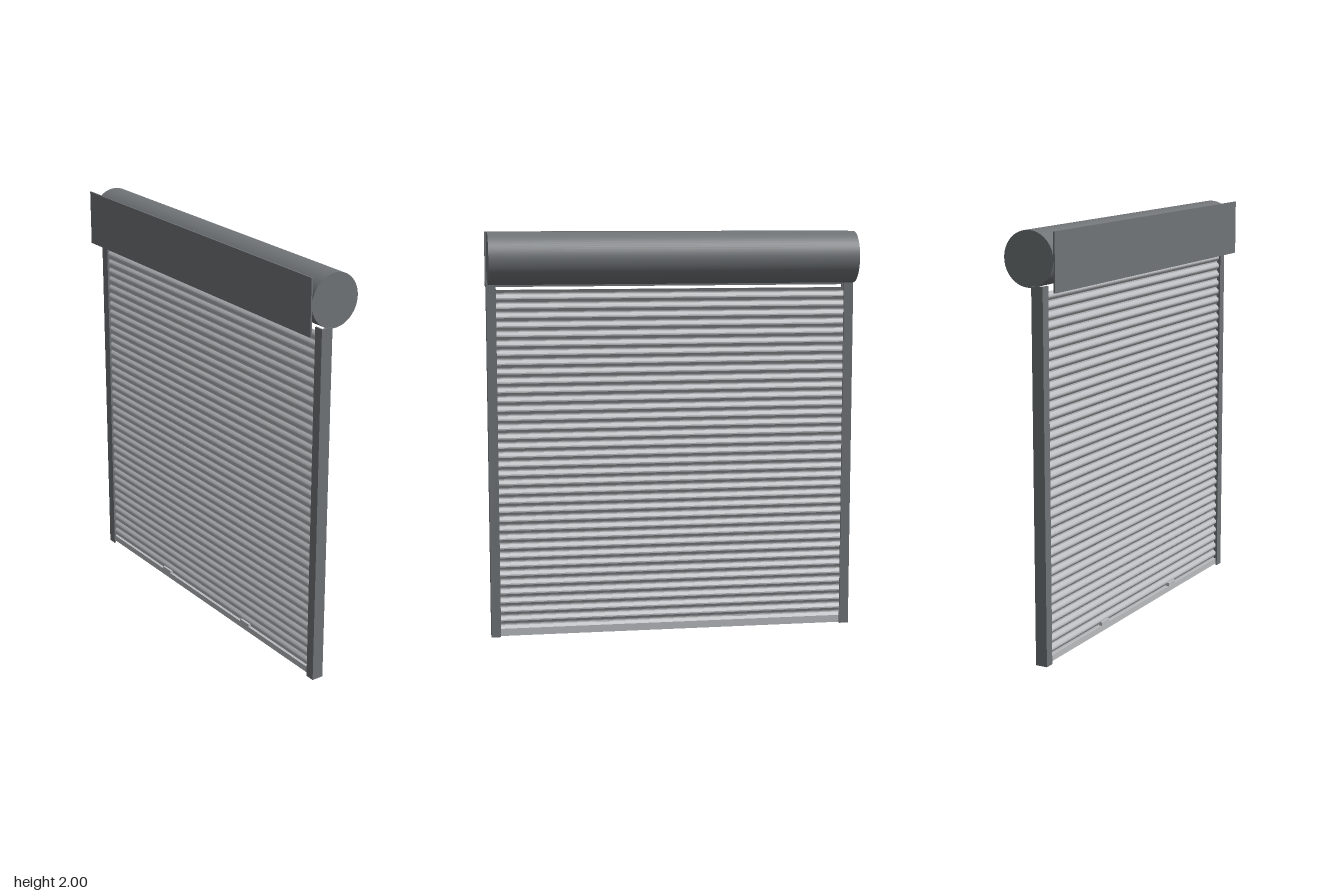
import * as THREE from 'three';

export function createModel() {
  const model = new THREE.Group();
  model.name = 'rollerShutter';
  const darkSteel = new THREE.MeshStandardMaterial({ name: 'dark steel', color: 0x707477 });
  const paleSteel = new THREE.MeshStandardMaterial({ name: 'pale steel', color: 0xbabcbf });

  const add = (name, geometry, material, x, y, z, parent = model) => {
    const mesh = new THREE.Mesh(geometry, material);
    mesh.name = name;
    mesh.position.set(x, y, z);
    parent.add(mesh);
    return mesh;
  };
  const box = (name, w, h, d, material, x, y, z, parent) =>
    add(name, new THREE.BoxGeometry(w, h, d), material, x, y, z, parent);

  // Rolled drum and the flat fascia in front of it
  const drum = new THREE.CylinderGeometry(0.127, 0.127, 1.81, 64).rotateZ(Math.PI / 2);
  add('drum', drum, darkSteel, 0, 1.873, -0.003);
  box('fascia', 1.824, 0.27, 0.008, darkSteel, 0, 1.865, 0.132);

  // Side guides: C-channels open towards the curtain
  for (const side of [1, -1]) {
    const guide = new THREE.Group();
    guide.name = side > 0 ? 'leftGuide' : 'rightGuide';
    model.add(guide);
    box('guideWeb', 0.008, 1.755, 0.059, darkSteel, side * 0.908, 0.8775, 0.0425, guide);
    for (const z of [0.017, 0.068])
      box('guideFlange', 0.039, 1.755, 0.008, darkSteel, side * 0.8845, 0.8775, z, guide);
  }

  // Slat cross-section: a shallow arc bulging forward, with a narrow hinge lip below
  const pitch = 0.0457, lip = 0.007, thick = 0.005, bulge = 0.014, steps = 8;
  const front = [[0, 0]];
  for (let i = 0; i <= steps; i++) {
    const t = i / steps;
    front.push([lip + (pitch - lip) * t, bulge * Math.sin(Math.PI * t)]);
  }
  // Shape x runs backward (-z) once extruded along +x
  const outline = [
    ...front.map(([y, z]) => new THREE.Vector2(-z, y)),
    ...front.slice().reverse().map(([y, z]) => new THREE.Vector2(thick - z, y)),
  ];
  const width = 1.79;
  const slat = new THREE.ExtrudeGeometry(new THREE.Shape(outline), { depth: width, bevelEnabled: false });
  slat.rotateY(Math.PI / 2).translate(-width / 2, 0, 0);

  // Curtain of interlocking slats above a bottom rail
  const curtain = new THREE.Group();
  curtain.name = 'curtain';
  model.add(curtain);
  for (let i = 0; i < 37; i++) add('slat', slat, paleSteel, 0, 0.03 + i * pitch, 0.038, curtain);
  box('bottomRail', width, 0.03, 0.018, paleSteel, 0, 0.015, 0.043, curtain);

  // Small lift handles on the lowest slat
  for (const x of [-0.353, 0.348]) box('liftHandle', 0.07, 0.018, 0.018, paleSteel, x, 0.044, 0.054);

  return model;
}
